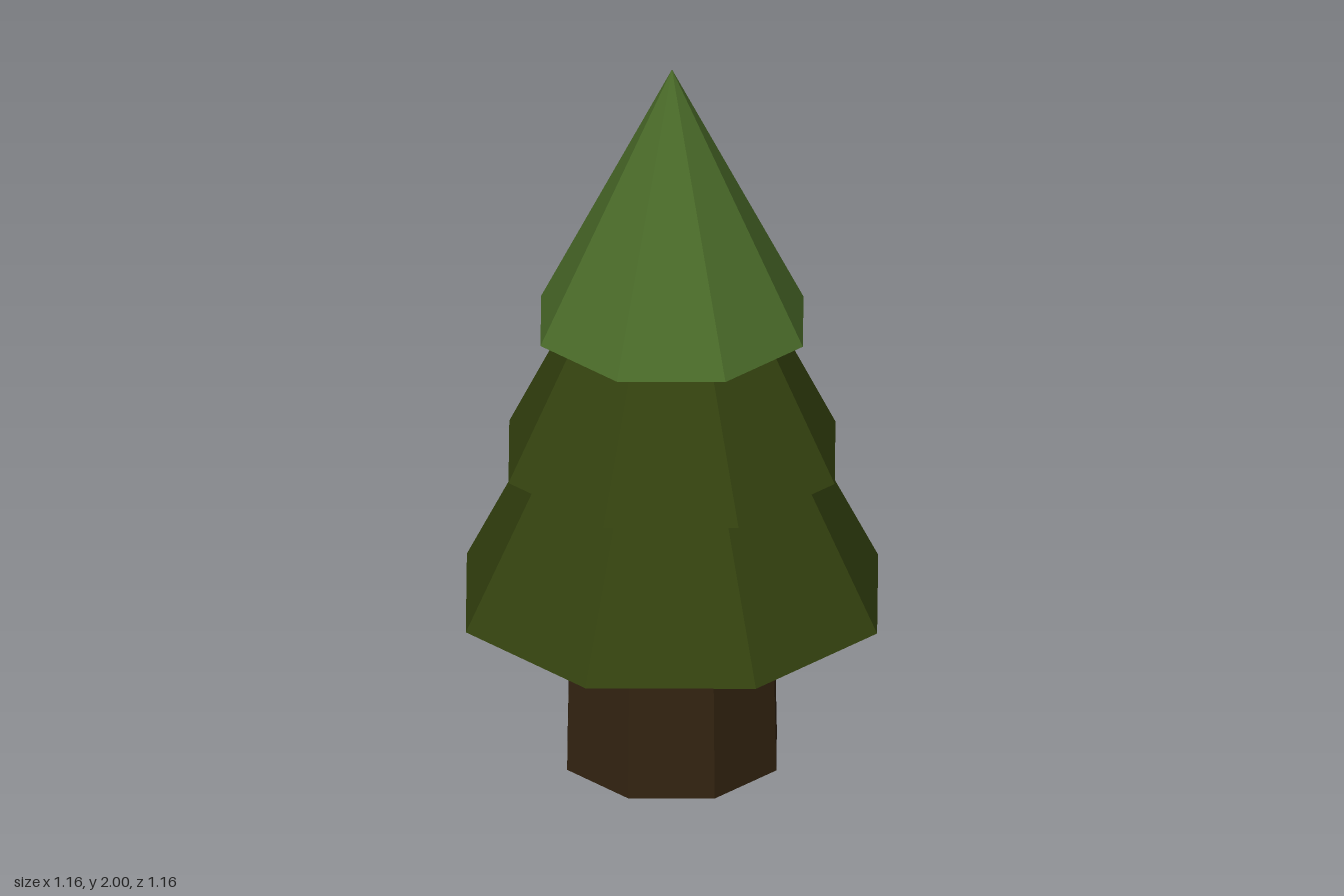
import * as THREE from 'three';

const SIDES = 8;

function flatMaterial(name, color) {
  return new THREE.MeshStandardMaterial({ name, color, flatShading: true });
}

export function createModel() {
  const tree = new THREE.Group();
  tree.name = 'pineTree';

  const bark = flatMaterial('bark brown', 0x332411);
  const darkLeaf = flatMaterial('dark green', 0x34420f);
  const lightLeaf = flatMaterial('light green', 0x4a6b29);

  // Slightly tapered trunk, reaching up to the lowest branches
  const trunkHeight = 0.48;
  const trunk = new THREE.Mesh(new THREE.CylinderGeometry(0.285, 0.295, trunkHeight, SIDES), bark);
  trunk.name = 'trunk';
  trunk.position.y = trunkHeight / 2;
  tree.add(trunk);

  // Overlapping cones of foliage, all dark underneath
  const tiers = [
    { name: 'lowerFoliage', base: 0.46, radius: 0.58, height: 1.16, leaf: darkLeaf },
    { name: 'middleFoliage', base: 0.875, radius: 0.46, height: 0.93, leaf: darkLeaf },
    { name: 'topFoliage', base: 1.26, radius: 0.37, height: 0.74, leaf: lightLeaf },
  ];
  for (const { name, base, radius, height, leaf } of tiers) {
    // Material order: sides, top cap, underside
    const cone = new THREE.Mesh(new THREE.ConeGeometry(radius, height, SIDES), [leaf, leaf, darkLeaf]);
    cone.name = name;
    cone.position.y = base + height / 2;
    tree.add(cone);
  }

  return tree;
}
